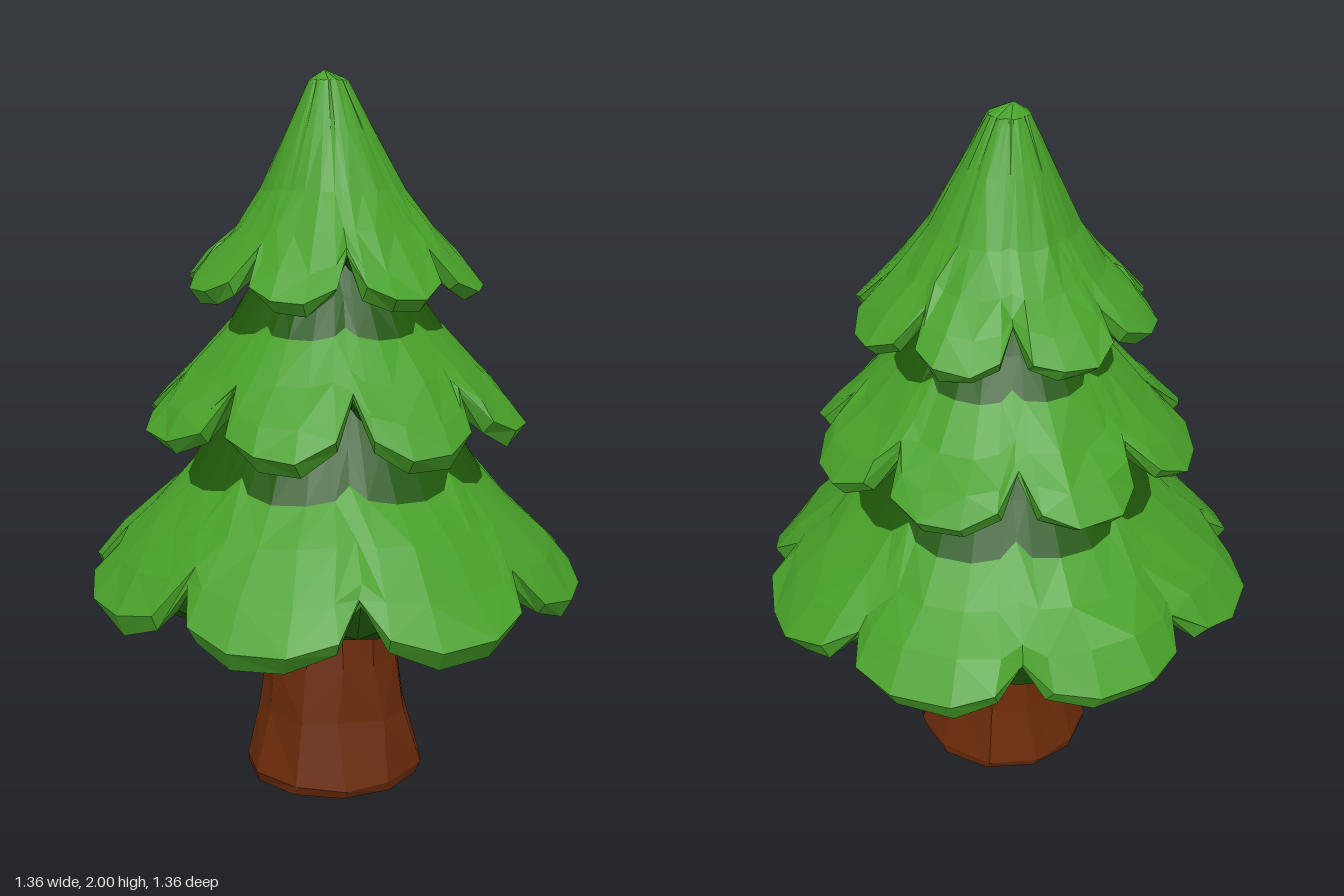
import * as THREE from 'three';

// Small seeded random for hand-cut irregularity
let seed = 7;
function rand() {
  seed = (seed * 16807) % 2147483647;
  return seed / 2147483647;
}
const wobble = (amount) => (rand() * 2 - 1) * amount;

const LOBES = 8;
// Columns within one lobe: position along the lobe, and how far it is from the notch (0) to the lobe (1)
const COLUMNS = [[0, 0], [0.13, 0.72], [0.36, 1], [0.64, 1], [0.87, 0.72]];

// Joins loops of points with flat facets; colours[i] is the material index of strip i
function facetedLoft(rings, colours) {
  const positions = [];
  const geometry = new THREE.BufferGeometry();
  const n = rings[0].length;
  for (let i = 0; i < rings.length - 1; i++) {
    const start = positions.length / 3;
    for (let j = 0; j < n; j++) {
      const k = (j + 1) % n;
      const a = rings[i][j], b = rings[i][k], c = rings[i + 1][k], d = rings[i + 1][j];
      const corners = rand() < 0.5 ? [a, d, c, a, c, b] : [a, d, b, d, c, b];
      for (const p of corners) positions.push(p.x, p.y, p.z);
    }
    geometry.addGroup(start, positions.length / 3 - start, colours[i]);
  }
  geometry.setAttribute('position', new THREE.Float32BufferAttribute(positions, 3));
  geometry.computeVertexNormals();
  return geometry;
}

// A skirt of lobed boughs, hanging lower at the front by droop. Each row: lobe radius, lobe y,
// notch radius, notch y, jitter, colour of the strip below, and an optional sideways lean
function boughTier(droop, rows) {
  const rings = rows.map(([lobeR, lobeY, notchR, notchY, jitter, , lean = 0]) => {
    const ring = [];
    for (let l = 0; l < LOBES; l++) {
      for (const [t, s] of COLUMNS) {
        const angle = ((l + t) / LOBES) * Math.PI * 2 + wobble(jitter) * 2;
        const r = THREE.MathUtils.lerp(notchR, lobeR, s) + wobble(jitter);
        const sag = jitter > 0.006 ? droop * s * Math.cos(angle) : 0;
        const y = THREE.MathUtils.lerp(notchY, lobeY, s) + wobble(jitter) - sag;
        ring.push(new THREE.Vector3(r * Math.sin(angle) + lean, y, r * Math.cos(angle)));
      }
    }
    return ring;
  });
  return facetedLoft(rings, rows.map((row) => row[5]));
}

export function createModel() {
  const model = new THREE.Group();
  const leafGreen = new THREE.MeshStandardMaterial({ color: 0x479f28 });
  const shadeGreen = new THREE.MeshStandardMaterial({ color: 0x1f570a });
  const barkBrown = new THREE.MeshStandardMaterial({ color: 0x6a2a09 });
  leafGreen.name = 'leafGreen';
  shadeGreen.name = 'shadeGreen';
  barkBrown.name = 'barkBrown';

  const add = (name, geometry, material) => {
    const mesh = new THREE.Mesh(geometry, material);
    mesh.name = name;
    model.add(mesh);
  };
  const greens = [leafGreen, shadeGreen];

  // Bottom boughs, closed below by a shallow dark disc
  add('bottomBoughs', boughTier(0.028, [
    [0.26, 1.15, 0.26, 1.15, 0, 1],
    [0.335, 1.03, 0.33, 1.03, 0.003, 1],
    [0.425, 0.89, 0.39, 0.94, 0.003, 0],
    [0.52, 0.80, 0.49, 0.82, 0.006, 0],
    [0.625, 0.705, 0.575, 0.74, 0.008, 0],
    [0.705, 0.605, 0.60, 0.705, 0.008, 0],
    [0.67, 0.55, 0.595, 0.695, 0.007, 0],
    [0.575, 0.58, 0.585, 0.68, 0.004, 1],
    [0.5, 0.555, 0.53, 0.57, 0.002, 1],
    [0, 0.54, 0, 0.54, 0, 1],
  ]), greens);

  // Middle boughs
  add('middleBoughs', boughTier(0.018, [
    [0.18, 1.51, 0.18, 1.51, 0, 1],
    [0.235, 1.41, 0.23, 1.41, 0.003, 1],
    [0.305, 1.305, 0.28, 1.335, 0.003, 0],
    [0.40, 1.2, 0.36, 1.24, 0.006, 0],
    [0.485, 1.12, 0.40, 1.195, 0.007, 0],
    [0.54, 1.05, 0.415, 1.18, 0.008, 0],
    [0.505, 1.01, 0.41, 1.172, 0.007, 0],
    [0.38, 1.075, 0.40, 1.165, 0.004, 1],
    [0.23, 1.1, 0.23, 1.1, 0, 1],
  ]), greens);

  // Top boughs with a blunt, slightly leaning tip
  add('topBoughs', boughTier(0.014, [
    [0, 2, 0, 2, 0, 0, -0.025],
    [0.055, 1.972, 0.05, 1.972, 0.002, 0, -0.015],
    [0.12, 1.84, 0.117, 1.84, 0.002, 0, -0.008],
    [0.2, 1.68, 0.193, 1.685, 0.004, 0],
    [0.275, 1.58, 0.26, 1.6, 0.006, 0],
    [0.355, 1.5, 0.30, 1.55, 0.007, 0],
    [0.42, 1.43, 0.315, 1.535, 0.008, 0],
    [0.385, 1.393, 0.308, 1.525, 0.007, 0],
    [0.265, 1.46, 0.30, 1.518, 0.003, 1],
    [0.15, 1.48, 0.15, 1.48, 0, 1],
  ]), greens);

  // Trunk, flared at the foot
  const trunkRows = [
    [0.165, 0.6, 0], [0.172, 0.5, 0.006], [0.19, 0.36, 0.009], [0.215, 0.2, 0.009],
    [0.26, 0.03, 0.007], [0.25, 0, 0], [0, 0, 0],
  ];
  const trunkRings = trunkRows.map(([r, y, jitter]) => Array.from({ length: 11 }, (_, i) => {
    const angle = (i / 11) * Math.PI * 2 + wobble(jitter) * 6;
    const radius = r + wobble(jitter);
    return new THREE.Vector3(radius * Math.sin(angle), y + wobble(jitter), radius * Math.cos(angle));
  }));
  add('trunk', facetedLoft(trunkRings, trunkRows.map(() => 0)), [barkBrown]);

  return model;
}
